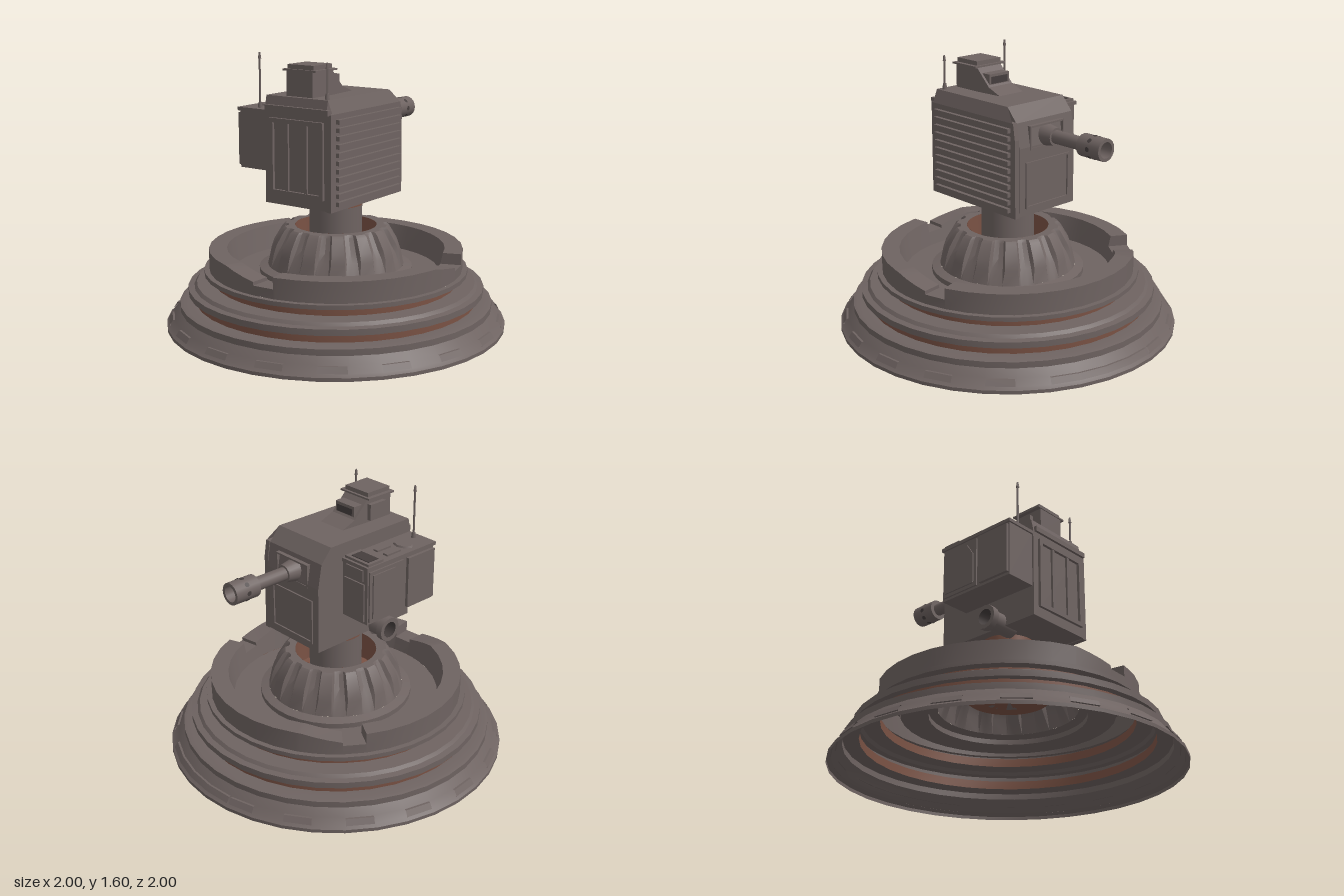
import * as THREE from 'three';
import { toCreasedNormals } from 'three/addons/utils/BufferGeometryUtils.js';

const flat = (name, color) => Object.assign(
  new THREE.MeshStandardMaterial({ color, side: THREE.DoubleSide }), { name });
const rad = THREE.MathUtils.degToRad;

export function createModel() {
  const model = new THREE.Group();
  model.name = 'gunTurret';
  const grey = flat('warm grey metal', 0x6e6361);
  const copper = flat('copper', 0x7a5244);
  const dark = flat('dark metal', 0x453e3d);

  const add = (name, geo, mat = grey, parent = model) => {
    const mesh = new THREE.Mesh(geo, mat);
    mesh.name = name;
    parent.add(mesh);
    return mesh;
  };
  // Box given by its limits on each axis
  const box = (name, x0, x1, y0, y1, z0, z1, mat = grey) => {
    const m = add(name, new THREE.BoxGeometry(x1 - x0, y1 - y0, z1 - z0), mat);
    m.position.set((x0 + x1) / 2, (y0 + y1) / 2, (z0 + z1) / 2);
    return m;
  };
  const lathe = (name, pts, mat = grey, start = 0, length = 360, segs = 36) =>
    add(name, toCreasedNormals(new THREE.LatheGeometry(
      pts.map(p => new THREE.Vector2(...p)), segs, rad(start), rad(length)), 0.45), mat);
  const cyl = (name, r0, r1, len, axis, x, y, z, mat = grey, segs = 20, open = false) => {
    const m = add(name, new THREE.CylinderGeometry(r1, r0, len, segs, 1, open), mat);
    if (axis === 'x') m.rotation.z = -Math.PI / 2;
    if (axis === 'z') m.rotation.x = Math.PI / 2;
    m.position.set(x, y, z);
    return m;
  };
  // Silhouette in x,y pushed through from z0 to z1
  const slab = (name, pts, z0, z1, mat = grey) => {
    const geo = new THREE.ExtrudeGeometry(new THREE.Shape(pts.map(p => new THREE.Vector2(...p))),
      { depth: z1 - z0, bevelEnabled: false });
    return add(name, geo.translate(0, 0, z0), mat);
  };
  // Skin over rows of points
  const loft = (name, rows) => {
    const n = rows[0].length, index = [];
    for (let i = 0; i < rows.length - 1; i++) for (let j = 0; j < n - 1; j++) {
      const a = i * n + j, b = a + n;
      index.push(a, a + 1, b, a + 1, b + 1, b);
    }
    const geo = new THREE.BufferGeometry();
    geo.setAttribute('position', new THREE.Float32BufferAttribute(rows.flat(2), 3));
    geo.setIndex(index);
    return add(name, toCreasedNormals(geo, 0.45));
  };
  const polar = (deg, r, y) => [r * Math.cos(rad(deg)), y, r * Math.sin(rad(deg))];

  // Stepped base shell, open underneath, with copper bands
  lathe('baseSkirt', [[1, 0], [1, 0.02], [0.98, 0.035], [0.955, 0.07], [0.92, 0.11],
    [0.92, 0.145], [0.9, 0.15], [0.83, 0.15]]);
  lathe('lowerBand', [[0.83, 0.15], [0.83, 0.2]], copper);
  lathe('middleRing', [[0.83, 0.2], [0.87, 0.2], [0.87, 0.235], [0.835, 0.24], [0.82, 0.258], [0.72, 0.26]]);
  lathe('upperBand', [[0.72, 0.26], [0.72, 0.31]], copper);
  lathe('upperRing', [[0.72, 0.31], [0.775, 0.31], [0.775, 0.335], [0.745, 0.335]]);
  lathe('baseFloor', [[0.61, 0.31], [0.45, 0.31], [0.45, 0.34], [0.4, 0.355]]);

  // Raised lugs around the skirt, one of them long
  const lug = [[0.975, 0.032], [0.988, 0.037], [0.968, 0.068], [0.95, 0.068]];
  for (let k = 0; k < 18; k++) {
    if (k === 3 || k === 4) continue;
    lathe('skirtLug', lug, grey, k * 20 + 0.2, 9.2, 1);
  }
  lathe('skirtLugLong', lug, grey, 60.5, 39, 4);

  // Parapet wall: three notches, each followed by a ramp
  const top = 0.455, starts = [-60, 70, 171], heights = [];
  for (const s of starts) heights.push([s, top], [s, 0.39], [s + 10, 0.39], [s + 10, 0.41],
    [s + 16, 0.425], [s + 22, 0.44], [s + 28, top]);
  for (let a = -50; a < 300; a += 10)
    if (!starts.some(s => a >= s && a <= s + 28)) heights.push([a, top]);
  heights.push([300, top]);
  heights.sort((p, q) => p[0] - q[0]);
  loft('parapetWall', heights.map(([a, y]) => [polar(a, 0.745, 0.335), polar(a, 0.745, y),
    polar(a, 0.61 + 0.03 * (y - 0.31) / 0.145, y), polar(a, 0.61, 0.31)]));

  // Fluted pedestal
  const rows = [], flutes = 14;
  const fin = [0.4, 0.382, 0.365, 0.318, 0.3], groove = [0.4, 0.36, 0.325, 0.285, 0.275];
  const levels = [0.355, 0.44, 0.49, 0.57, 0.585];
  const cut = [[0, 0], [0.45, 0], [0.53, 0.75], [0.72, 1], [0.92, 0.75]];
  for (let k = 0; k <= flutes; k++) for (const [t, depth] of cut) {
    if (k === flutes && t > 0) break;
    const a = (k + t) * 360 / flutes + 8;
    rows.push([...levels.map((y, i) => polar(a, fin[i] + (groove[i] - fin[i]) * depth, y)),
      polar(a, 0.24, 0.585)]);
  }
  loft('flutedPedestal', rows);
  lathe('pedestalSocket', [[0.24, 0.585], [0.24, 0.42], [0.001, 0.42]], copper);
  cyl('column', 0.155, 0.155, 0.3, 'y', 0, 0.57, 0, grey, 28);
  cyl('columnCollar', 0.158, 0.158, 0.05, 'y', 0, 0.735, 0, copper, 28);

  // Turret housing
  slab('housing', [[-0.385, 0.76], [0.325, 0.76], [0.325, 1.15], [0.3, 1.29], [0.23, 1.37],
    [-0.37, 1.37], [-0.385, 1.3]], -0.21, 0.215);
  slab('frontPlate', [[-0.385, 0.755], [0.325, 0.755], [0.32, 1.2], [0.305, 1.295], [-0.385, 1.295]], 0.215, 0.245);
  // Sloping strip above the front plate
  loft('frontBevel', [-0.37, 0.25].map(x => [[x + (x > 0 ? 0.05 : 0), 1.295, 0.245],
    [x - (x > 0 ? 0.02 : 0), 1.37, 0.215]]));
  for (let i = 0; i < 11; i++) {
    const y = 0.785 + i * 0.0455;
    box('grilleSlat', -0.34, 0.285, y, y + 0.025, 0.24, 0.268);
  }

  // Rectangular rim on a side face
  const rim = (name, x0, x1, y0, y1, z0, z1, w) => {
    box(name, x0, x1, y0, y0 + w, z0, z1);
    box(name, x0, x1, y1 - w, y1, z0, z1);
    box(name, x0, x1, y0 + w, y1 - w, z0, z0 + w);
    box(name, x0, x1, y0 + w, y1 - w, z1 - w, z1);
  };
  rim('sideHatchRim', 0.322, 0.334, 0.8, 1.065, -0.165, 0.17, 0.012);
  rim('gunPortRim', 0.3, 0.328, 1.13, 1.265, -0.125, 0.135, 0.01);
  rim('rearHatchRim', -0.402, -0.38, 0.82, 1.25, -0.17, 0.2, 0.025);
  box('rearHatchRib', -0.398, -0.38, 0.83, 1.24, -0.06, -0.04);
  box('rearHatchRib', -0.398, -0.38, 0.83, 1.24, 0.07, 0.09);
  box('rearLip', -0.4, -0.37, 1.29, 1.32, -0.2, 0.235);

  // Gun
  cyl('gunMount', 0.066, 0.05, 0.09, 'x', 0.345, 1.195, 0);
  cyl('barrel', 0.038, 0.038, 0.3, 'x', 0.48, 1.195, 0);
  cyl('muzzle', 0.063, 0.063, 0.16, 'x', 0.68, 1.195, 0, grey, 20, true);
  cyl('muzzleBore', 0.045, 0.045, 0.16, 'x', 0.68, 1.195, 0, grey, 20, true);
  for (const x of [0.6, 0.76]) {
    const ring = add('muzzleEnd', new THREE.RingGeometry(x > 0.7 ? 0.045 : 0.03, 0.063, 20));
    ring.rotation.y = Math.PI / 2;
    ring.position.set(x, 1.195, 0);
  }
  for (let k = 0; k < 8; k++) {
    const vent = new THREE.Group();
    vent.name = 'muzzleVent';
    vent.position.set(0.68, 1.195, 0);
    vent.rotation.x = k * Math.PI / 4;
    add('ventHole', new THREE.CircleGeometry(0.014, 10), dark, vent).position.z = 0.0645;
    model.add(vent);
  }

  // Equipment box on the back
  box('backBox', -0.375, 0.14, 0.94, 1.28, -0.4, -0.21);
  box('backBoxLid', -0.385, 0.15, 1.268, 1.288, -0.41, -0.21);
  box('backDoor', -0.37, -0.16, 0.955, 1.255, -0.418, -0.4);
  box('backDoor', -0.13, 0.13, 0.955, 1.255, -0.41, -0.4);
  slab('backDoorPanel', [[-0.11, 0.975], [0.11, 0.975], [0.11, 1.235], [-0.06, 1.235], [-0.11, 1.16]], -0.418, -0.41);
  box('boxSidePanel', 0.14, 0.149, 0.955, 1.18, -0.38, -0.225);
  box('boxSidePanel', 0.14, 0.149, 1.195, 1.26, -0.37, -0.24);
  box('lidBlock', 0.02, 0.135, 1.288, 1.302, -0.4, -0.22);
  box('lidBlockInset', 0.04, 0.115, 1.302, 1.306, -0.38, -0.25, dark);
  box('lidKey', -0.145, -0.04, 1.288, 1.298, -0.37, -0.335);
  box('lidKey', -0.145, -0.04, 1.288, 1.298, -0.295, -0.26);
  cyl('lidCap', 0.05, 0.045, 0.01, 'y', -0.22, 1.293, -0.315, grey, 8).scale.z = 1.3;

  // Exhaust under the equipment box
  cyl('exhaustPipe', 0.058, 0.058, 0.2, 'z', -0.12, 0.79, -0.21, grey, 16, true);
  cyl('exhaustFlange', 0.073, 0.073, 0.04, 'z', -0.12, 0.79, -0.305, grey, 12, true);
  const lip = add('exhaustLip', new THREE.RingGeometry(0.048, 0.073, 12));
  lip.position.set(-0.12, 0.79, -0.325);
  cyl('exhaustBore', 0.048, 0.048, 0.1, 'z', -0.12, 0.79, -0.275, dark, 12, true);
  cyl('exhaustBack', 0.048, 0.048, 0.01, 'z', -0.12, 0.79, -0.23, dark, 12);

  // Sensor tower on the roof
  slab('sensorTower', [[-0.34, 1.365], [0.03, 1.375], [-0.06, 1.41], [-0.165, 1.515], [-0.34, 1.515]], -0.09, 0.09);
  box('sensorBrim', -0.345, -0.145, 1.51, 1.52, -0.115, 0.115);
  box('sensorCap', -0.33, -0.16, 1.52, 1.545, -0.09, 0.09);
  box('sensorVisor', -0.16, -0.07, 1.41, 1.48, -0.075, 0.075);
  box('sensorWindow', -0.07, -0.066, 1.425, 1.465, -0.06, 0.06, dark);
  box('sensorSideBox', -0.28, -0.16, 1.385, 1.48, -0.115, -0.09);

  // Aerials
  for (const [y0, y1, z] of [[1.285, 1.6, -0.285], [1.37, 1.57, 0.185]]) {
    cyl('aerialBase', 0.014, 0.01, 0.035, 'y', -0.335, y0 + 0.017, z, grey, 8);
    cyl('aerialRod', 0.006, 0.006, y1 - y0 - 0.02, 'y', -0.335, (y0 + y1) / 2 - 0.01, z, grey, 6);
    cyl('aerialTip', 0.01, 0.005, 0.035, 'y', -0.335, y1 - 0.0175, z, grey, 6);
  }
  return model;
}
